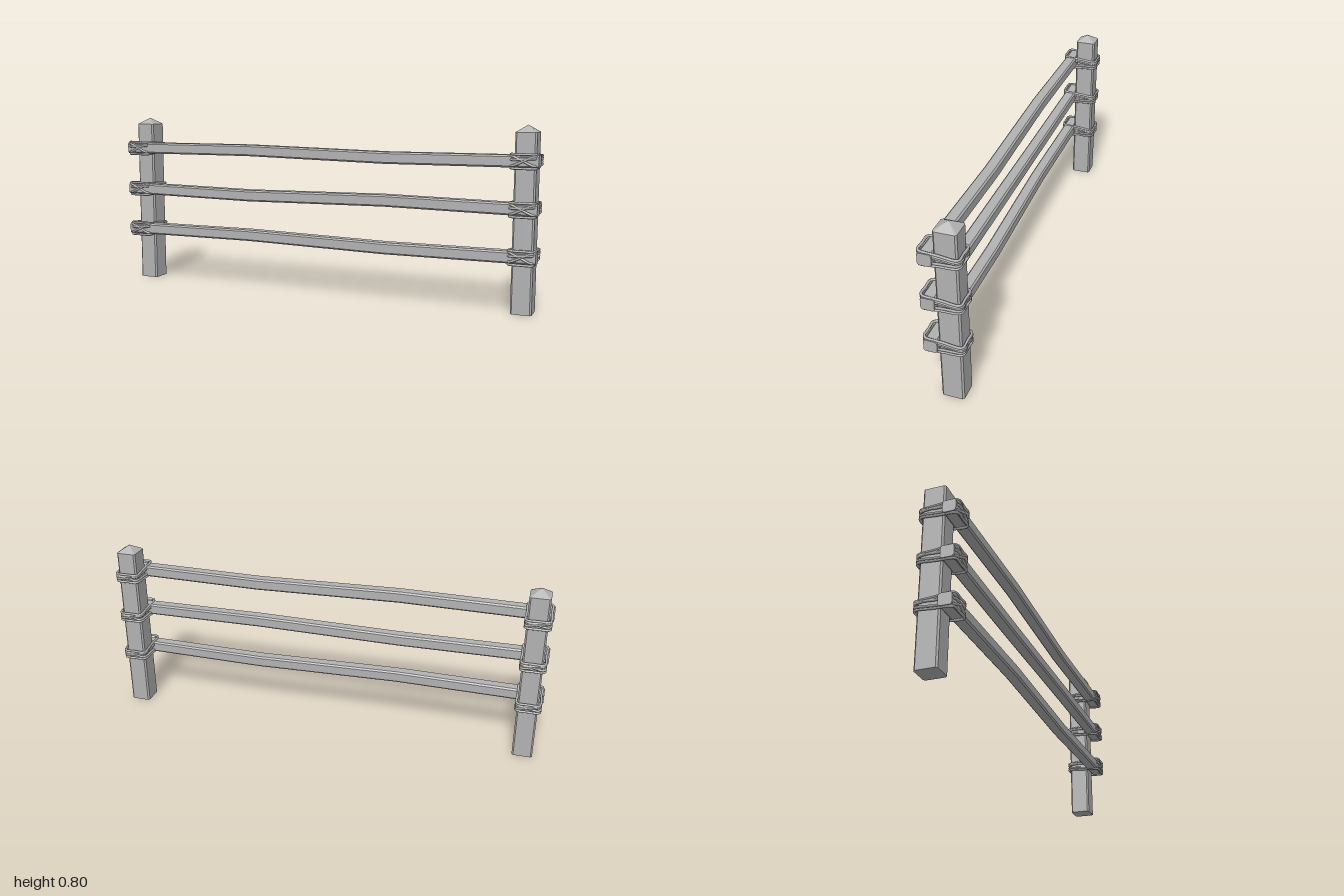
import * as THREE from 'three';

const wood = new THREE.MeshStandardMaterial({ color: 0xb2b2b2 });
wood.name = 'grey';

// Rectangle with chamfered corners, counter-clockwise
function chamferedPoints(w, h, c) {
  return [[w, -h + c], [w, h - c], [w - c, h], [-w + c, h],
    [-w, h - c], [-w, -h + c], [-w + c, -h], [w - c, -h]]
    .map(([x, y]) => new THREE.Vector2(x, y));
}

function addMesh(parent, geometry, name) {
  const mesh = new THREE.Mesh(geometry, wood);
  mesh.name = name;
  parent.add(mesh);
  return mesh;
}

// Square post with chamfered edges and a low pyramid cap
function makePost() {
  const post = new THREE.Group();
  const outline = chamferedPoints(0.045, 0.047, 0.007);
  const shaft = new THREE.ExtrudeGeometry(new THREE.Shape(outline), { depth: 0.77, bevelEnabled: false });
  shaft.rotateX(-Math.PI / 2);
  addMesh(post, shaft, 'postShaft');

  const corners = [];
  outline.forEach((p, i) => {
    const q = outline[(i + 1) % outline.length];
    corners.push(p.x, 0.77, -p.y, q.x, 0.77, -q.y, 0, 0.8, 0);
  });
  const cap = new THREE.BufferGeometry();
  cap.setAttribute('position', new THREE.Float32BufferAttribute(corners, 3));
  cap.computeVertexNormals();
  addMesh(post, cap, 'postCap');
  return post;
}

// Chamfered rail in three lengths, bent slightly at the two joints
function makeRail(bend, sway) {
  const shape = new THREE.Shape(chamferedPoints(0.028, 0.026, 0.007));
  const geometry = new THREE.ExtrudeGeometry(shape, { depth: 2, steps: 3, bevelEnabled: false });
  geometry.translate(0, 0, -1).rotateY(Math.PI / 2);
  const pos = geometry.attributes.position;
  for (let i = 0; i < pos.count; i++) {
    const x = pos.getX(i);
    if (Math.abs(x) > 0.5) continue;
    const side = x < 0 ? 1 : -1;
    pos.setY(i, pos.getY(i) + side * bend);
    pos.setZ(i, pos.getZ(i) + side * sway);
  }
  geometry.computeVertexNormals();
  return geometry;
}

// One rope loop: level behind the post, from height a to height b across the rail
function makeRopeLoop(a, b, backA, backB) {
  const w = 0.051, front = 0.081, back = -0.08, c = 0.009;
  const mid = (p, q) => (p + q) / 2;
  const path = [
    [-w + c, a, front], [0, mid(a, b), front], [w - c, b, front],
    [w, b, front - c], [w, mid(b, backB), 0], [w, backB, back + c],
    [w - c, backB, back], [0, mid(backA, backB), back], [-w + c, backA, back],
    [-w, backA, back + c], [-w, mid(a, backA), 0], [-w, a, front - c],
  ].map((p) => new THREE.Vector3(...p));
  const curve = new THREE.CatmullRomCurve3(path, true, 'centripetal');
  return new THREE.TubeGeometry(curve, 64, 0.0055, 6, true);
}

// Lashing: outer loops above and below the rail, inner ones crossing over it
function makeLashing() {
  const lashing = new THREE.Group();
  [
    [0.029, 0.029, 0.016, 0.016],
    [-0.029, -0.029, -0.02, -0.02],
    [0.02, -0.018, 0.007, -0.009],
    [-0.018, 0.02, -0.009, 0.007],
    [0.006, 0.012, 0.012, 0.001],
  ].forEach((heights, i) => addMesh(lashing, makeRopeLoop(...heights), `ropeLoop${i + 1}`));
  return lashing;
}

export function createModel() {
  const fence = new THREE.Group();
  fence.name = 'fence';
  const railLevels = [0.255, 0.455, 0.655];

  for (const side of [-1, 1]) {
    const label = side > 0 ? 'left' : 'right';
    const post = makePost();
    post.name = `${label}Post`;
    post.position.set(side * 0.935, 0, -0.025);
    fence.add(post);

    railLevels.forEach((y, i) => {
      const lashing = makeLashing();
      lashing.name = `${label}Lashing${i + 1}`;
      lashing.position.set(side * 0.9375, y, 0);
      fence.add(lashing);
    });
  }

  // The middle rail bends the opposite way
  railLevels.forEach((y, i) => {
    const rail = addMesh(fence, makeRail(i === 1 ? -0.006 : 0.006, 0.003), `rail${i + 1}`);
    rail.position.set(0, y, 0.049);
  });
  return fence;
}
